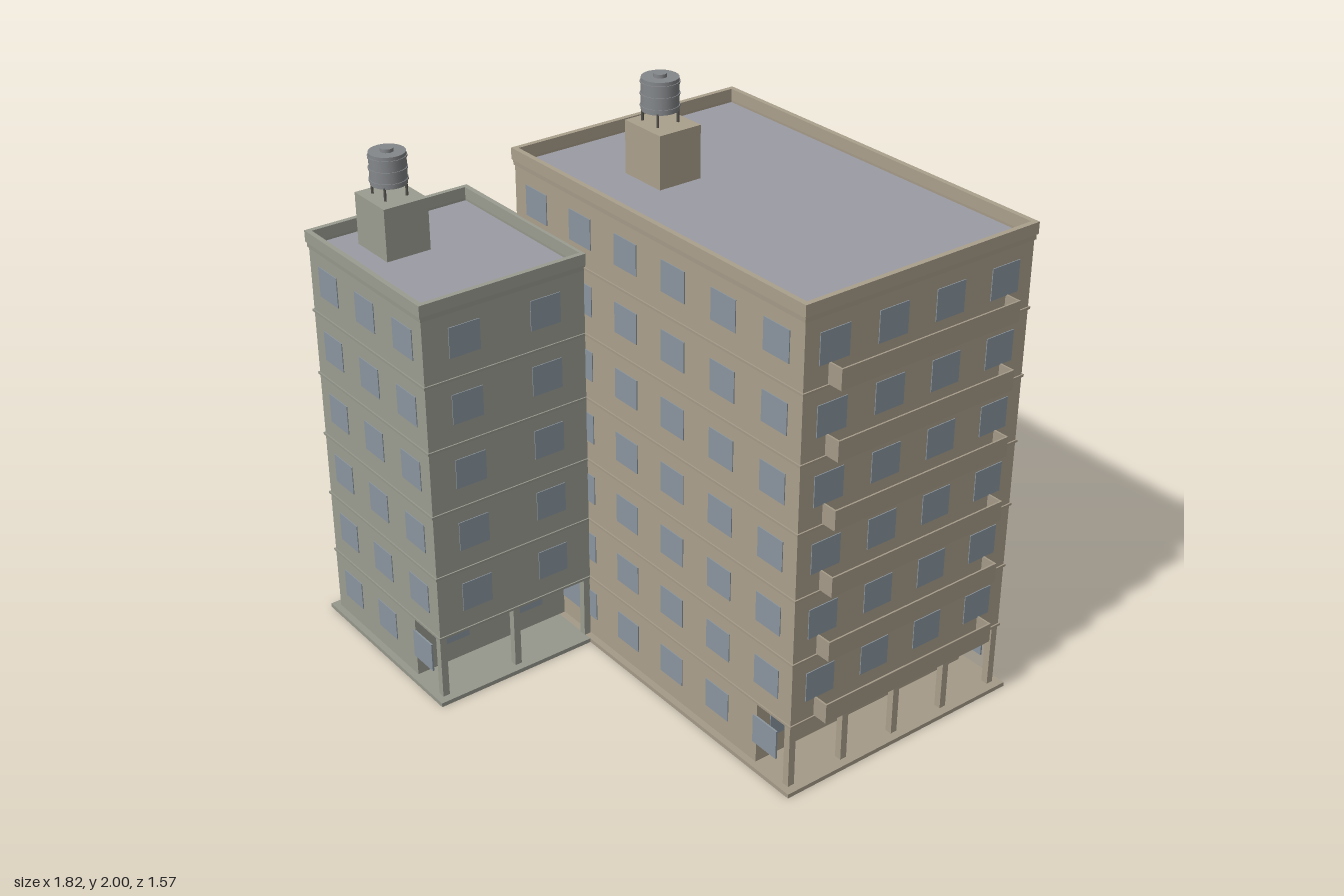
import * as THREE from 'three';

const mat = (color) => new THREE.MeshStandardMaterial({ color });
const windowMat = mat(0x8b969f), roofMat = mat(0x9c9ca4), metalMat = mat(0x85888b), unitMat = mat(0x9b9b96);
const darkMat = mat(0x55534e);
const FLOOR = 0.234, GROUND = 0.25, BASE = 0.015, ARCADE = 0.16;

// Box given by its min and max corners
function box(parent, name, material, x0, x1, y0, y1, z0, z1) {
  const m = new THREE.Mesh(new THREE.BoxGeometry(x1 - x0, y1 - y0, z1 - z0), material);
  m.position.set((x0 + x1) / 2, (y0 + y1) / 2, (z0 + z1) / 2);
  m.name = name;
  parent.add(m);
  return m;
}

function cylinder(parent, name, material, r, y0, y1, x, z, sides) {
  const m = new THREE.Mesh(new THREE.CylinderGeometry(r, r, y1 - y0, sides), material);
  m.position.set(x, (y0 + y1) / 2, z);
  m.name = name;
  parent.add(m);
}

// Four thin walls round a rectangle
function ring(parent, name, material, x0, x1, y0, y1, z0, z1, t) {
  box(parent, name, material, x0, x1, y0, y1, z0, z0 + t);
  box(parent, name, material, x0, x1, y0, y1, z1 - t, z1);
  box(parent, name, material, x0, x0 + t, y0, y1, z0 + t, z1 - t);
  box(parent, name, material, x1 - t, x1, y0, y1, z0 + t, z1 - t);
}

// Water tank on four legs with hoops and a cap
function waterTank(x, y, z) {
  const g = new THREE.Group();
  g.name = 'waterTank';
  for (const sx of [-1, 1]) for (const sz of [-1, 1])
    cylinder(g, 'tankLeg', darkMat, 0.005, y, y + 0.045, x + sx * 0.04, z + sz * 0.04, 6);
  cylinder(g, 'tankBody', metalMat, 0.061, y + 0.04, y + 0.148, x, z, 20);
  for (const h of [0.055, 0.094, 0.133]) cylinder(g, 'tankHoop', metalMat, 0.064, y + h - 0.003, y + h + 0.003, x, z, 20);
  cylinder(g, 'tankCap', metalMat, 0.022, y + 0.148, y + 0.16, x, z, 16);
  return g;
}

function tower({ name, color, x0, x1, z0, z1, floors, nx, nz, unitX, hut, tank, balconies }) {
  const g = new THREE.Group();
  g.name = name;
  const wall = mat(color), trim = mat(new THREE.Color(color).multiplyScalar(0.93));
  const top = GROUND + floors * FLOOR, core = x1 - ARCADE;

  // Base slab, recessed ground floor and upper block
  box(g, 'baseSlab', trim, x0 - 0.027, x1 + 0.027, 0, BASE, z0 - 0.027, z1 + 0.024);
  box(g, 'groundFloor', wall, x0, core, BASE, GROUND, z0, z1);
  box(g, 'upperFloors', wall, x0, x1, GROUND, top, z0, z1);

  // Arcade columns, one at every bay line
  for (let i = 0; i <= nz; i++) {
    const z = z0 + 0.0125 + (i / nz) * (z1 - z0 - 0.025);
    box(g, 'arcadeColumn', wall, x1 - 0.027, x1 - 0.002, BASE, GROUND, z - 0.0125, z + 0.0125);
  }

  for (let f = 0; f <= floors; f++) {
    const cy = 0.142 + f * FLOOR, y0 = cy - 0.053, y1 = cy + 0.053, t = 0.003, w = 0.057;
    // Windows on the front and back
    for (let i = 0; i < nx; i++) {
      const x = x0 + ((i + 0.5) / nx) * (x1 - x0);
      for (const z of [z0, z1]) box(g, 'window', windowMat, x - w, x + w, y0, y1, z - t, z + t);
    }
    // Windows on both sides, set back with the arcade wall at ground level
    for (let i = 0; i < nz; i++) {
      const z = z0 + ((i + 0.5) / nz) * (z1 - z0);
      for (const x of [x0, f ? x1 : core]) box(g, 'window', windowMat, x - t, x + t, y0, y1, z - w, z + w);
    }
    // Air conditioner on the back wall
    box(g, 'airConditioner', unitMat, unitX - 0.03, unitX + 0.03, cy - 0.06, cy - 0.017, z0 - 0.032, z0);
    // Thin floor band
    if (f < floors) {
      const y = GROUND + f * FLOOR;
      ring(g, 'floorBand', trim, x0 - 0.005, x1 + 0.005, y - 0.004, y + 0.004, z0 - 0.005, z1 + 0.005, 0.02);
    }
    // Balcony: floor plate with three thin parapet panels
    if (balconies && f > 0) {
      const y = GROUND + (f - 1) * FLOOR + 0.005, a = -0.656, b = 0.057, e = x1 + 0.057;
      box(g, 'balconyFloor', trim, x1, e, y, y + 0.008, a, b);
      box(g, 'balconyFront', trim, e - 0.006, e, y, y + 0.07, a, b);
      box(g, 'balconyEnd', trim, x1, e - 0.006, y, y + 0.07, a, a + 0.006);
      box(g, 'balconyEnd', trim, x1, e - 0.006, y, y + 0.07, b - 0.006, b);
    }
  }

  // Roof, cornice and parapet
  box(g, 'roof', roofMat, x0 + 0.005, x1 - 0.005, top, top + 0.004, z0 + 0.005, z1 - 0.005);
  ring(g, 'cornice', trim, x0 - 0.004, x1 + 0.004, top - 0.006, top + 0.012, z0 - 0.004, z1 + 0.004, 0.014);
  ring(g, 'parapet', wall, x0 - 0.008, x1 + 0.008, top + 0.012, top + 0.052, z0 - 0.008, z1 + 0.008, 0.018);

  // Stair hut with its tank
  box(g, 'roofHut', wall, hut[0] - 0.09, hut[0] + 0.09, top, top + 0.185, hut[1] - 0.081, hut[1] + 0.081);
  g.add(waterTank(tank[0], top + 0.185, tank[1]));
  return g;
}

export function createModel() {
  const model = new THREE.Group();
  model.name = 'apartmentBuilding';
  model.add(tower({
    name: 'tallTower', color: 0xaba08d, x0: -0.58, x1: 0.85, z0: -0.755, z1: 0.15, floors: 6, nx: 6, nz: 4,
    unitX: -0.27, hut: [-0.196, -0.158], tank: [-0.21, -0.158], balconies: true,
  }));
  model.add(tower({
    name: 'shortTower', color: 0x9b9d91, x0: -0.885, x1: -0.203, z0: 0.152, z1: 0.757, floors: 5, nx: 3, nz: 2,
    unitX: -0.737, hut: [-0.699, 0.547], tank: [-0.707, 0.547], balconies: false,
  }));
  return model;
}
